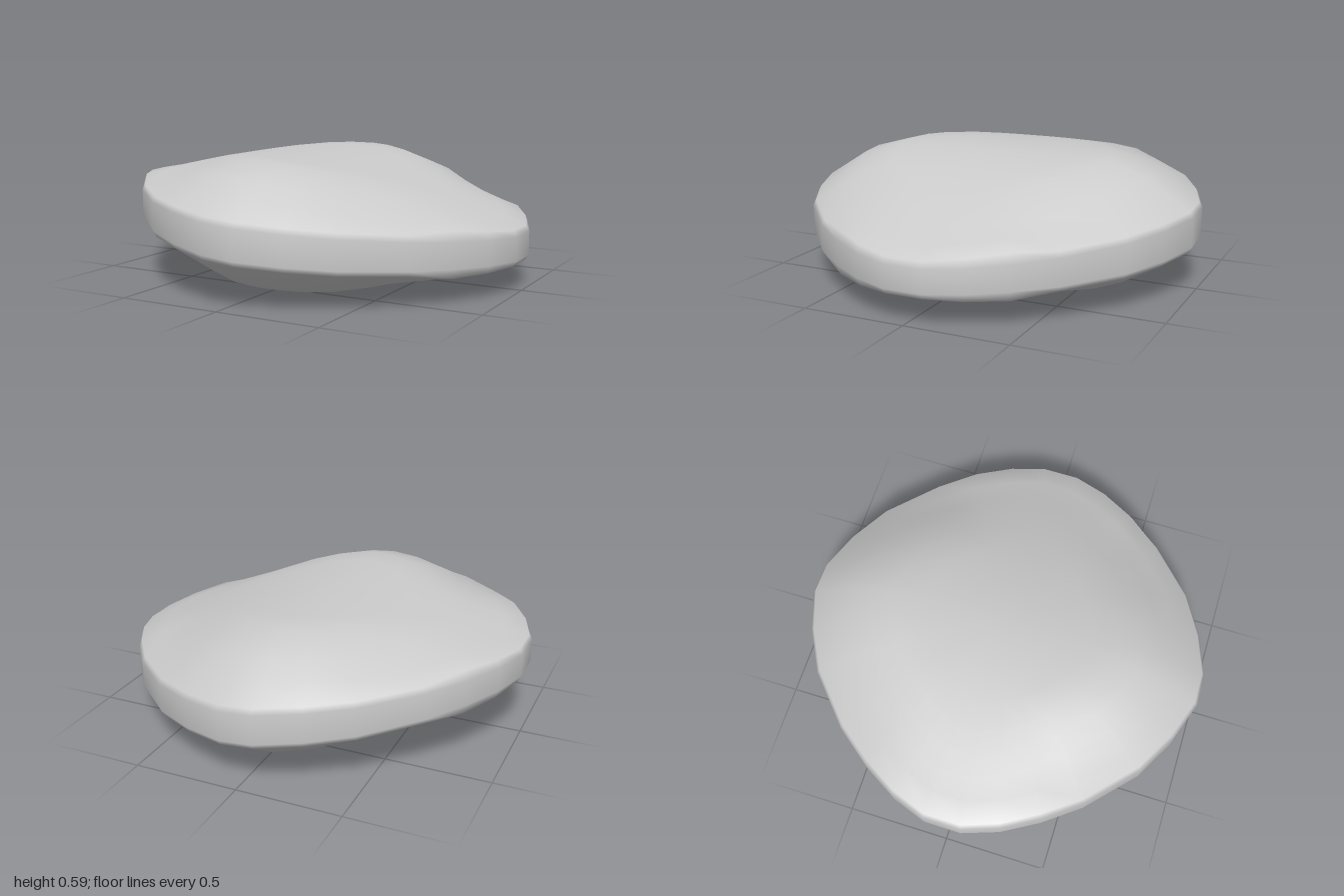
import * as THREE from 'three';
import { mergeVertices } from 'three/addons/utils/BufferGeometryUtils.js';

// One quadrant of the plan outline (x, z), mirrored into all four
const QUADRANT = [[1, 0.09], [0.94, 0.26], [0.84, 0.43], [0.71, 0.6], [0.48, 0.81], [0.28, 0.92], [0.08, 0.99]];

function makeOutline() {
  const back = [...QUADRANT].reverse();
  const half = [...QUADRANT, ...back.map(([x, z]) => [-x, z])];
  return [...half, ...half.map(([x, z]) => [-x, -z])];
}

// Height of the dome above the rim: an arch along x, with sloped ends along z
function dome(x, z, s) {
  const arch = Math.pow(Math.max(0, 1 - x * x), 1.35);
  let ramp = 0;
  if (s > 0.77) ramp = 0.31 + 0.69 * (s - 0.77) / 0.215;
  else if (s > 0.56) ramp = 0.31 * (s - 0.56) / 0.21;
  const sin2 = z * z / (x * x + z * z + 1e-9);
  return 0.195 * arch * (1 - Math.min(1, 2.5 * sin2) * Math.min(1, ramp));
}

function pebbleGeometry() {
  const outline = makeOutline();
  const n = outline.length;
  const scales = [0, 0.14, 0.28, 0.42, 0.56, 0.67, 0.77, 0.88, 0.985];
  // Rings run from the top pole over the rounded rim to the bottom pole
  const rings = [
    ...scales.map((s) => ({ s, side: 1 })),
    { s: 1, side: 1, rim: true },
    { s: 1, side: -1, rim: true },
    ...scales.map((s) => ({ s, side: -1 })).reverse(),
  ];
  const positions = [];
  const index = [];
  rings.forEach(({ s, side, rim }, i) => {
    outline.forEach(([ox, oz], j) => {
      const x = ox * s, z = oz * s;
      const middle = 0.297 - 0.09 * x;
      const thickness = 0.095 - 0.015 * x * x;
      const h = rim ? thickness - 0.025 : thickness + dome(x, z, s);
      positions.push(x, middle + side * h, z);
      if (i < rings.length - 1) {
        const k = (j + 1) % n;
        const a = i * n + j, b = i * n + k, c = a + n, d = b + n;
        if (i > 0) index.push(a, b, c);
        if (i < rings.length - 2) index.push(b, d, c);
        else index.pop(), index.pop(), index.pop(), index.push(a, b, c);
      }
    });
  });
  const geometry = new THREE.BufferGeometry();
  geometry.setAttribute('position', new THREE.Float32BufferAttribute(positions, 3));
  geometry.setIndex(index);
  const merged = mergeVertices(geometry, 1e-5);
  merged.computeVertexNormals();
  return merged;
}

export function createModel() {
  const group = new THREE.Group();
  group.name = 'pebble';
  const stone = new THREE.Mesh(pebbleGeometry(), new THREE.MeshStandardMaterial({ color: 0xcccccc }));
  stone.name = 'stone';
  group.add(stone);
  return group;
}
